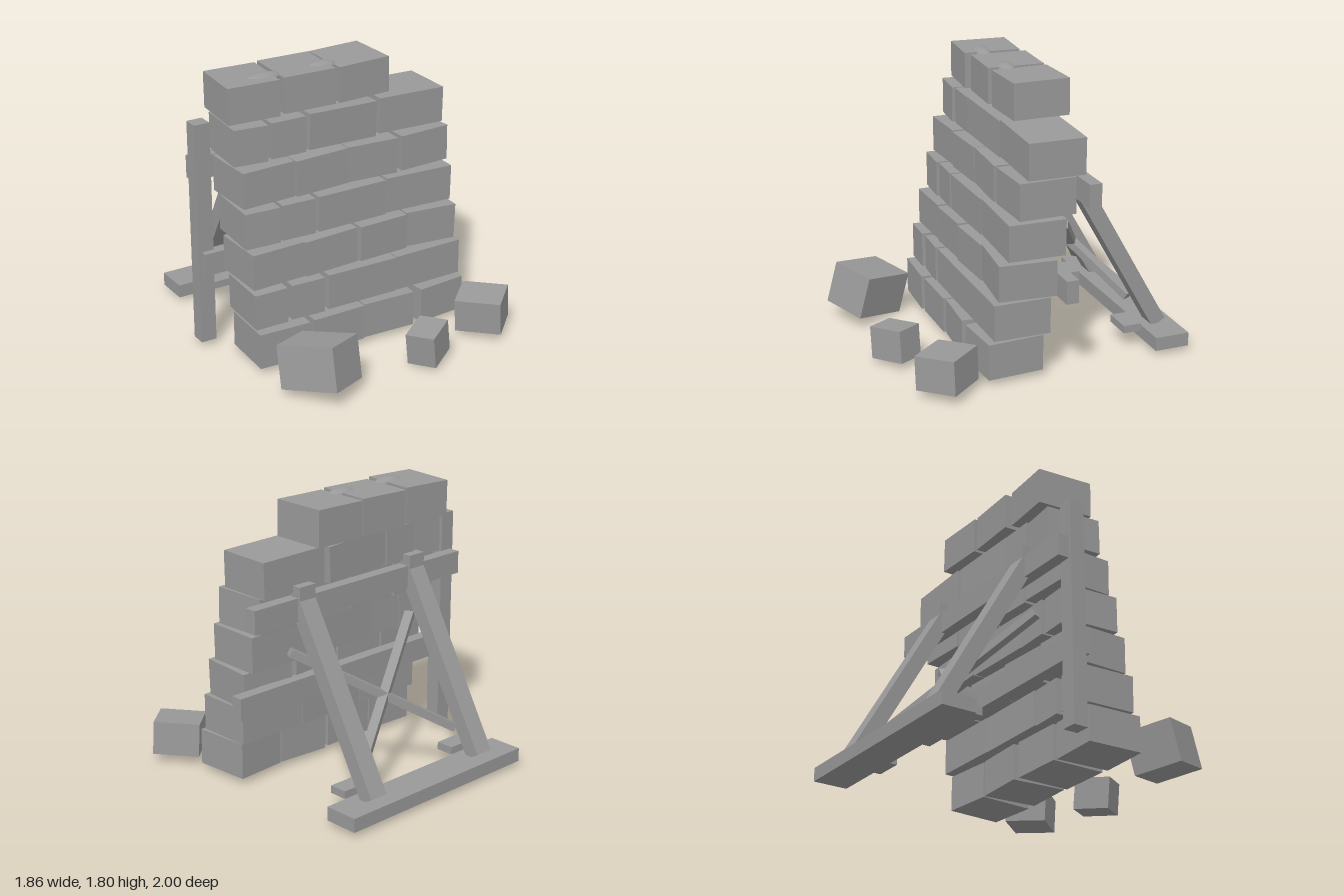
import * as THREE from 'three';

export function createModel() {
  const root = new THREE.Group();
  const grey = new THREE.MeshStandardMaterial({ color: 0x999999 });
  grey.name = 'plainGrey';

  function box(name, size, pos, rot = [0, 0, 0], parent = root) {
    const mesh = new THREE.Mesh(new THREE.BoxGeometry(...size), grey);
    mesh.name = name;
    mesh.position.set(...pos);
    mesh.rotation.set(rot[0], rot[1], rot[2], 'YXZ');
    parent.add(mesh);
    return mesh;
  }

  // Beam of width w and thickness t running from a to b
  function beam(name, a, b, w, t) {
    const from = new THREE.Vector3(...a), to = new THREE.Vector3(...b);
    const mid = from.clone().lerp(to, 0.5);
    box(name, [w, t, from.distanceTo(to)], mid.toArray()).lookAt(to);
  }

  // Leaning wall: each course lists bricks as [left, right, yaw, roll]
  const courses = [
    [[-0.79, -0.42, -0.05, 0], [-0.40, -0.03, 0, 0], [-0.02, 0.37, -0.07, 0.01], [0.38, 0.75, 0.07, 0]],
    [[-0.79, -0.55, -0.05, 0.02], [-0.53, -0.28, -0.05, 0], [-0.27, 0.25, 0.01, -0.02], [0.25, 0.745, 0, 0]],
    [[-0.78, -0.41, 0.01, 0.01], [-0.40, -0.02, 0, 0.03], [-0.02, 0.37, 0.06, -0.02], [0.36, 0.76, -0.08, -0.03]],
    [[-0.79, -0.53, -0.06, 0], [-0.53, -0.28, -0.05, 0], [-0.28, 0.235, 0.02, -0.01], [0.24, 0.745, -0.03, -0.02]],
    [[-0.78, -0.41, 0.02, 0.01], [-0.40, -0.02, 0.01, 0.02], [-0.02, 0.365, -0.04, -0.02], [0.38, 0.745, 0.02, 0.01]],
    [[-0.79, -0.53, -0.08, -0.02], [-0.53, -0.28, -0.02, 0], [-0.28, 0.24, 0.04, -0.04], [0.26, 0.75, -0.02, -0.02]],
    [[-0.79, -0.41, -0.09, 0.01], [-0.40, -0.02, -0.06, 0.01], [-0.005, 0.36, 0, 0.02]],
  ];
  const courseZ = [0.205, 0.155, 0.105, 0.05, -0.005, -0.07, -0.125];
  const wall = new THREE.Group();
  wall.name = 'brickWall';
  root.add(wall);
  courses.forEach((bricks, row) => bricks.forEach(([l, r, yaw, roll]) => {
    const width = r - l - 0.37 * Math.abs(Math.sin(yaw));
    box('brick', [width, 0.235, 0.37], [(l + r) / 2, 0.16 + row * 0.251, courseZ[row]], [0, yaw, roll], wall);
  }));

  // Rounded lumps of mortar on the top course
  for (const [x, r] of [[-0.49, 0.12], [-0.07, 0.105]]) {
    const lump = new THREE.Mesh(new THREE.SphereGeometry(1, 20, 12), grey);
    lump.name = 'mortarLump';
    lump.scale.set(r, 0.035, 0.06);
    lump.position.set(x, 1.768, -0.055);
    root.add(lump);
  }

  // Fallen blocks in front
  box('largeFallenBlock', [0.31, 0.28, 0.39], [-0.58, 0.2, 0.73], [-0.2, 0.52, -0.15]);
  box('smallFallenBlock', [0.24, 0.21, 0.19], [0.185, 0.14, 0.79], [-0.05, 0.57, 0.1]);
  box('mediumFallenBlock', [0.27, 0.22, 0.3], [0.72, 0.165, 0.64], [-0.04, 0.73, 0.06]);

  // Horizontal rails, side post and base board
  box('upperRail', [1.78, 0.15, 0.08], [-0.02, 1.195, -0.26]);
  box('lowerRail', [1.78, 0.15, 0.08], [-0.02, 0.597, -0.12]);
  box('sidePost', [0.105, 1.485, 0.1], [-0.882, 0.782, -0.173]);
  box('baseBoard', [1.49, 0.09, 0.23], [-0.015, 0.08, -0.885]);

  // Mirrored props, their head blocks, foot cleats and crossed braces
  const centre = -0.018;
  for (const s of [-1, 1]) {
    const x = centre + s * 0.477;
    beam('propLeg', [x, 0.13, -0.89], [x, 1.24, -0.265], 0.13, 0.1);
    box('headBlock', [0.13, 0.21, 0.085], [x, 1.235, -0.273]);
    box('footCleat', [0.2, 0.05, 0.12], [x, 0.135, -0.685]);
    beam('crossBrace', [centre - s * 0.41, 0.29, -0.73], [centre + s * 0.53, 0.9, -0.21], 0.06, 0.05);
  }
  return root;
}
